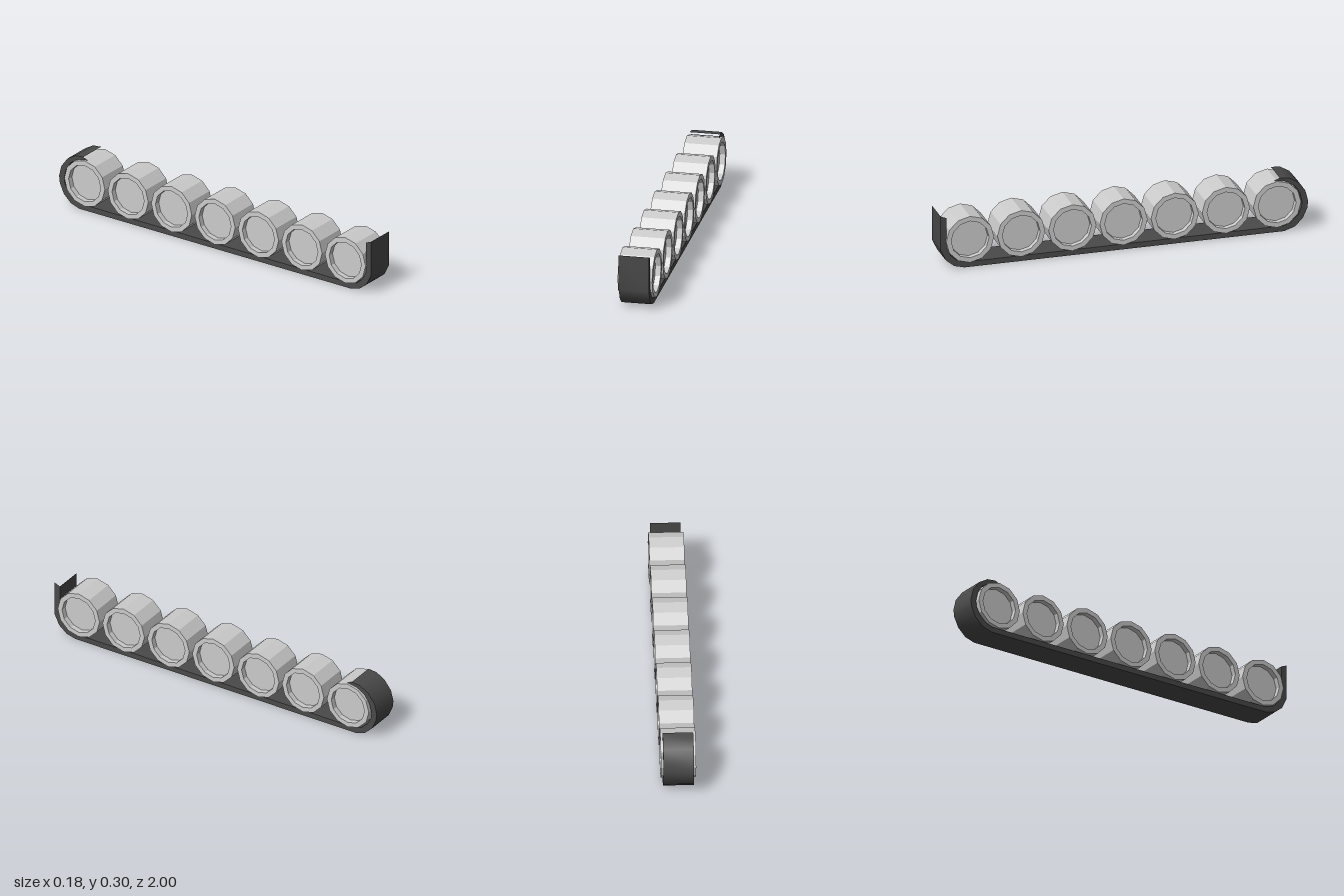
import * as THREE from 'three';

const HALF_TRACK = 0.08;

// Track section as [outer z, outer y, inner z, inner y], front tip to rear tip
const SECTION = [
  [1.0, 0.302, 0.967, 0.288],
  [1.0, 0.11, 0.967, 0.12],
  [0.972, 0.052, 0.943, 0.073],
  [0.925, 0.014, 0.908, 0.042],
  [0.87, 0.0, 0.865, 0.03],
  [-0.87, 0.0, -0.865, 0.03],
  [-0.925, 0.018, -0.905, 0.045],
  [-0.97, 0.06, -0.942, 0.08],
  [-0.995, 0.115, -0.963, 0.12],
  [-1.0, 0.155, -0.967, 0.155],
  [-0.985, 0.215, -0.955, 0.205],
  [-0.945, 0.268, -0.925, 0.25],
  [-0.895, 0.297, -0.875, 0.28],
  [-0.845, 0.302, -0.815, 0.289],
];

// Strip of quads between two edge lines that run along the track
function strip(left, right, material) {
  const positions = [], index = [];
  left.forEach((p, i) => {
    positions.push(...p, ...right[i]);
    if (i < left.length - 1) {
      const a = i * 2;
      index.push(a, a + 2, a + 3, a, a + 3, a + 1);
    }
  });
  const geometry = new THREE.BufferGeometry();
  geometry.setAttribute('position', new THREE.Float32BufferAttribute(positions, 3));
  geometry.setIndex(index);
  geometry.computeVertexNormals();
  return new THREE.Mesh(geometry, material);
}

// Belt with outer, inner and side faces; its two tips are open
function createTrack() {
  const material = new THREE.MeshStandardMaterial({ color: 0x4a4a4a });
  const edge = (x, inner) => SECTION.map((s) => [x, s[inner ? 3 : 1], s[inner ? 2 : 0]]);
  const edges = [
    edge(-HALF_TRACK, false),
    edge(HALF_TRACK, false),
    edge(HALF_TRACK, true),
    edge(-HALF_TRACK, true),
  ];
  const names = ['trackOuter', 'trackLeftSide', 'trackInner', 'trackRightSide'];
  const track = new THREE.Group();
  track.name = 'track';
  names.forEach((name, i) => {
    const face = strip(edges[i], edges[(i + 1) % 4], material);
    face.name = name;
    track.add(face);
  });
  return track;
}

// Twelve-sided wheel with a recessed disc on both sides
function createWheelGeometry() {
  const radius = 0.13, hub = 0.103, half = 0.092, floor = 0.062;
  const profile = [
    [0, -floor], [hub, -floor], [hub, -half], [radius, -half],
    [radius, half], [hub, half], [hub, floor], [0, floor],
  ].map(([r, y]) => new THREE.Vector2(r, y));
  return new THREE.LatheGeometry(profile, 12).rotateZ(Math.PI / 2);
}

export function createModel() {
  const model = new THREE.Group();
  model.name = 'trackAssembly';
  model.add(createTrack());

  // Row of seven road wheels
  const wheelGeometry = createWheelGeometry();
  const wheelMaterial = new THREE.MeshStandardMaterial({ color: 0xcccccc, flatShading: true });
  for (let i = 0; i < 7; i++) {
    const wheel = new THREE.Mesh(wheelGeometry, wheelMaterial);
    wheel.name = `wheel${i + 1}`;
    wheel.position.set(0, 0.159, 0.843 - i * 0.2785);
    model.add(wheel);
  }
  return model;
}
